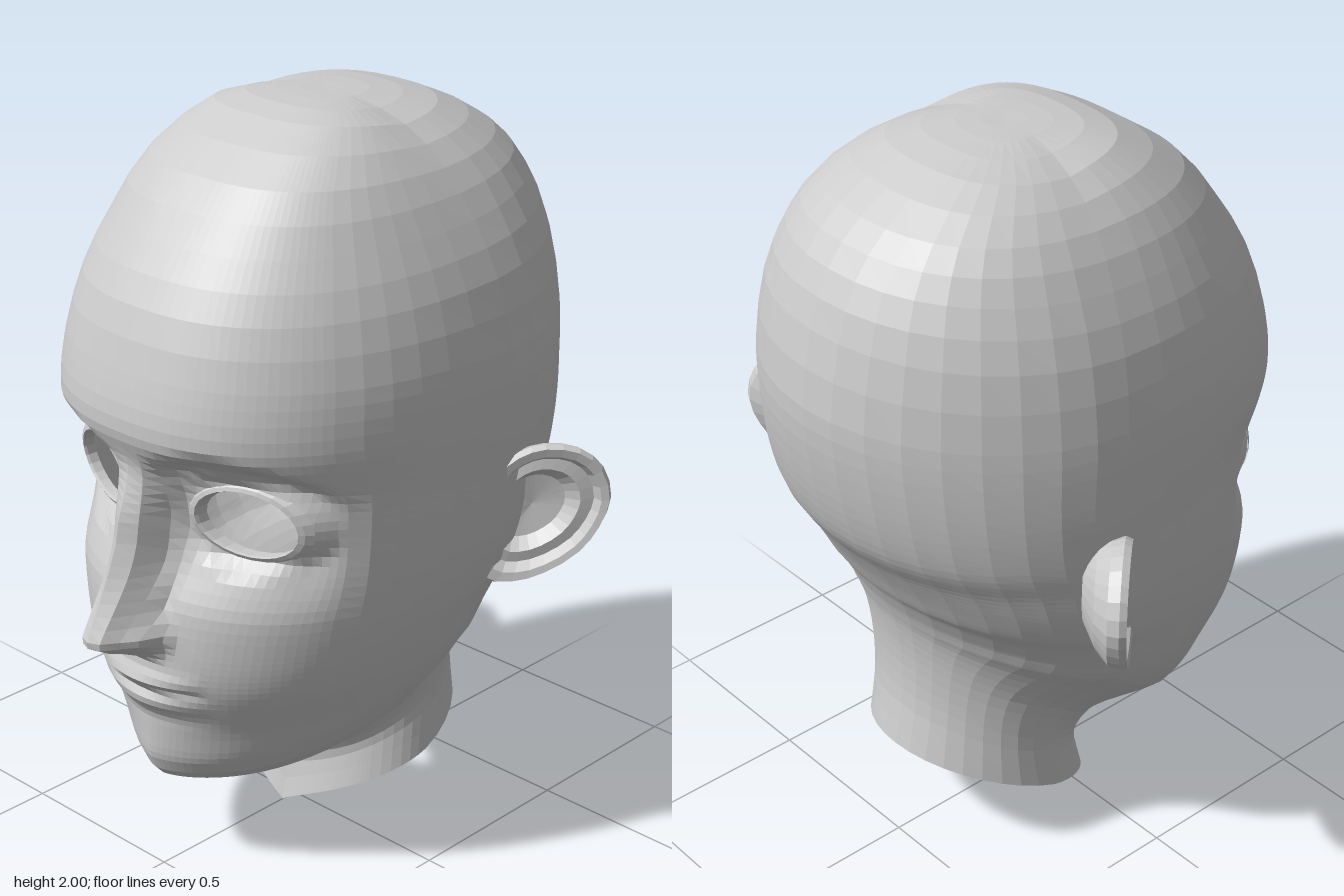
import * as THREE from 'three';

const { smoothstep, lerp } = THREE.MathUtils;
const material = new THREE.MeshStandardMaterial({ color: 0xcccccc, flatShading: true, side: THREE.DoubleSide });

// Profiles, crown to neck. Front and back: [y, z, squareness]. Side: [half width, y, z].
const FRONT = [
  [2.0, -0.1, 2.6], [2.0, 0.01, 2.6], [1.975, 0.14, 2.8], [1.86, 0.33, 2.7], [1.72, 0.45, 2.5], [1.58, 0.54, 2.4],
  [1.43, 0.59, 2.4], [1.28, 0.615, 2.4], [1.16, 0.565, 2.4], [1.04, 0.545, 2.4], [0.9, 0.55, 2.35],
  [0.75, 0.575, 2.2], [0.6, 0.582, 2.0], [0.45, 0.545, 1.7], [0.34, 0.535, 1.5], [0.275, 0.495, 1.42],
  [0.265, 0.42, 1.45], [0.285, 0.25, 1.6], [0.27, 0.12, 1.8], [0.2, 0.05, 1.9], [0.12, 0.03, 2], [0, 0.05, 2],
];
const SIDE = [
  [0, 2.0, -0.1], [0.11, 1.998, -0.1], [0.26, 1.95, -0.12], [0.375, 1.86, -0.14], [0.455, 1.74, -0.16], [0.52, 1.6, -0.18],
  [0.56, 1.42, -0.2], [0.57, 1.25, -0.22], [0.568, 1.1, -0.22], [0.565, 1.0, -0.2], [0.558, 0.9, -0.18],
  [0.54, 0.8, -0.15], [0.52, 0.74, -0.13], [0.505, 0.69, -0.12], [0.49, 0.65, -0.12], [0.465, 0.6, -0.13],
  [0.415, 0.55, -0.15], [0.36, 0.5, -0.18], [0.32, 0.45, -0.2], [0.3, 0.38, -0.22], [0.295, 0.3, -0.22], [0.305, 0.18, -0.2],
];
const BACK = [
  [2.0, -0.1, 2.5], [2.0, -0.21, 2.5], [1.975, -0.37, 2.5], [1.89, -0.54, 2.4], [1.79, -0.64, 2.2], [1.65, -0.7, 2.1],
  [1.45, -0.735, 2], [1.25, -0.72, 2], [1.08, -0.68, 2], [0.98, -0.62, 2], [0.91, -0.58, 2],
  [0.85, -0.55, 2], [0.82, -0.532, 1.95], [0.79, -0.518, 1.9], [0.76, -0.505, 1.85], [0.73, -0.495, 1.85],
  [0.7, -0.486, 1.85], [0.65, -0.477, 1.9], [0.59, -0.47, 2], [0.51, -0.468, 2], [0.42, -0.475, 2], [0.3, -0.5, 2],
];
const curve = (pts) =>
  new THREE.CatmullRomCurve3(pts.map((p) => new THREE.Vector3(...p)), false, 'catmullrom', 0.5);
const front = curve(FRONT), side = curve(SIDE), back = curve(BACK);

const EYE = { x: 0.26, y: 1.055, w: 0.13, h: 0.09 };
const HOLE = 1.08;

// Depth of the eyelid surface around an eye, x measured on the left side
const lidZ = (x, y) => 0.445 - 0.36 * (x - EYE.x) + 0.15 * (y - EYE.y)
  - 0.7 * (x - EYE.x) ** 2 - 1.5 * (y - EYE.y) ** 2;

// Mesh over rings of points, closed around each ring; keep() may drop triangles
function ringMesh(name, rings, flip = false, keep = () => true) {
  const n = rings[0].length, index = [];
  const add = (a, b, c) => { if (keep(a, b, c)) index.push(...(flip ? [a, c, b] : [a, b, c])); };
  for (let i = 0; i < rings.length - 1; i++) {
    for (let j = 0; j < n; j++) {
      const k = (j + 1) % n, a = i * n + j, b = a + n, c = (i + 1) * n + k, d = i * n + k;
      add(a, b, c);
      add(a, c, d);
    }
  }
  const geometry = new THREE.BufferGeometry().setFromPoints(rings.flat());
  geometry.setIndex(index);
  geometry.computeVertexNormals();
  const mesh = new THREE.Mesh(geometry, material);
  mesh.name = name;
  return mesh;
}

// Nose: flat ridge growing to the tip with planar flanks, plus nostril wings
function nose(x, y) {
  let h;
  if (y > 1.0) h = lerp(0.085, 0, smoothstep(y, 1.0, 1.24));
  else if (y > 0.75) h = lerp(0.165, 0.085, (y - 0.75) / 0.25);
  else h = 0.165 * smoothstep(y, 0.655, 0.74);
  const width = lerp(0.1, 0.075, smoothstep(y, 0.76, 0.95));
  const wing = 0.05 * Math.exp(-(((x - 0.085) / 0.03) ** 2) - ((y - 0.745) / 0.035) ** 2);
  return h * THREE.MathUtils.clamp((width - x) / (width - 0.025), 0, 1) + wing;
}

// Lips: upper and lower swelling with a crease between them, corners slightly raised
function lips(x, y) {
  const fade = Math.max(0, 1 - (x / 0.21) ** 2), v = y - 0.5 * x * x;
  const bump = (at, size) => Math.exp(-(((v - at) / size) ** 2));
  return fade * (0.02 * bump(0.6, 0.024) - 0.014 * bump(0.568, 0.012) + 0.013 * bump(0.53, 0.026) - 0.006 * bump(0.475, 0.025));
}

// Eye socket: hollow below an arched brow
function socket(x, y) {
  const brow = 1.272 - 1.8 * (x - 0.24) ** 2;
  return 0.055 * (1 - smoothstep(y, brow - 0.07, brow)) * smoothstep(y, 0.8, 1.0)
    * smoothstep(x, 0.04, 0.13) * (1 - smoothstep(x, 0.38, 0.5));
}

// Head and neck shell with sculpted face and open eyes
function head() {
  const half = [];
  for (let j = 0; j < 20; j++) half.push(j * 0.045);
  for (let j = 0; j < 6; j++) half.push(lerp(0.9, Math.PI / 2, j / 6));
  for (let j = 0; j <= 9; j++) half.push(Math.PI / 2 * (1 + j / 9));
  const angles = [...half, ...half.slice(1, -1).reverse().map((a) => -a)];

  const rows = [], last = FRONT.length - 1;
  for (let i = 0; i < last; i++) {
    const steps = i < 6 ? 2 : i === 6 ? 4 : i === 11 || i === 12 ? 8 : i < 14 ? 5 : 2;
    for (let s = 0; s < steps; s++) rows.push((i + s / steps) / last);
  }
  rows.push(1);

  const inside = [];
  const rings = rows.map((t) => {
    const f = front.getPoint(t), s = side.getPoint(t), b = back.getPoint(t);
    const bend = lerp(1.85, 0.42, smoothstep(t, 0.8, 1));
    return angles.map((angle) => {
      const c = Math.cos(angle), sn = Math.abs(Math.sin(angle)), isFront = c > 0;
      const end = isFront ? f : b, e = 2 / end.z;
      const depth = Math.abs(c) ** e;
      let x = s.x * sn ** e;
      let y = lerp(end.x, s.y, (1 - depth) ** (isFront ? bend : 1));
      let z = lerp(s.z, end.y, depth);
      let open = false;
      if (isFront && y > 0.4 && y < 1.35 && z > 0.1) {
        z -= socket(x, y);
        // Push points inside the eye out to its rim
        const r = Math.hypot((x - EYE.x) / EYE.w, (y - EYE.y) / EYE.h);
        open = r < HOLE;
        if (open) {
          const k = HOLE / Math.max(r, 0.001);
          x = EYE.x + (x - EYE.x) * k;
          y = EYE.y + (y - EYE.y) * k;
        }
        z = lerp(lidZ(x, y), z, smoothstep(r, 1.1, 1.55));
        z += nose(x, y) + lips(x, y);
      }
      inside.push(open);
      return new THREE.Vector3(angle < 0 ? -x : x, y, z);
    });
  });
  return ringMesh('head', rings, false, (a, b, c) => !(inside[a] && inside[b] && inside[c]));
}

// Eyelid rim, [scale, forward offset] from outside to inside
function eyelid(sign) {
  const profile = [[1.25, -0.006], [1.13, 0.005], [1.02, 0.007], [0.99, -0.002], [0.97, -0.03]];
  const rings = profile.map(([k, off]) => Array.from({ length: 24 }, (_, j) => {
    const a = -j / 24 * Math.PI * 2;
    const x = EYE.x + EYE.w * k * Math.cos(a), y = EYE.y + EYE.h * k * Math.sin(a);
    return new THREE.Vector3(sign * x, y, lidZ(x, y) + off);
  }));
  return ringMesh(sign > 0 ? 'leftEyelid' : 'rightEyelid', rings, sign < 0);
}

// Ear: one outline scaled into rings from the root, over the rim, into the bowl
function ear(sign) {
  const outline = new THREE.CatmullRomCurve3([
    [-0.035, 0.11], [0.02, 0.165], [0.09, 0.188], [0.18, 0.175], [0.24, 0.125], [0.265, 0.04],
    [0.24, -0.04], [0.19, -0.11], [0.1, -0.17], [0.01, -0.195], [-0.06, -0.18], [-0.045, -0.04],
  ].map(([u, v]) => new THREE.Vector3(u, v, 0)), true);
  const points = outline.getPoints(24).slice(0, 24);
  // [scale, offset along the ear's normal, shift away from the head]
  const profile = [[0.6, -0.1, -0.09], [0.8, -0.065, -0.03], [0.95, -0.03, 0], [1, 0, 0], [0.96, 0.018, 0],
    [0.84, 0.014, 0], [0.75, -0.016, 0], [0.6, -0.012, -0.01], [0.45, -0.045, -0.02], [0, -0.055, -0.03]];
  const rings = profile.map(([k, m, shift]) => points.map((p) => {
    const u = 0.1 + (p.x - 0.1) * k + shift, v = p.y * k;
    return new THREE.Vector3(sign * (0.56 + 0.68 * u + 0.73 * m), 0.975 + v, -0.2 - 0.73 * u + 0.68 * m);
  }));
  return ringMesh(sign > 0 ? 'leftEar' : 'rightEar', rings, sign < 0);
}

export function createModel() {
  const model = new THREE.Group();
  model.name = 'humanHead';
  model.add(head());
  for (const sign of [1, -1]) model.add(eyelid(sign), ear(sign));
  return model;
}
